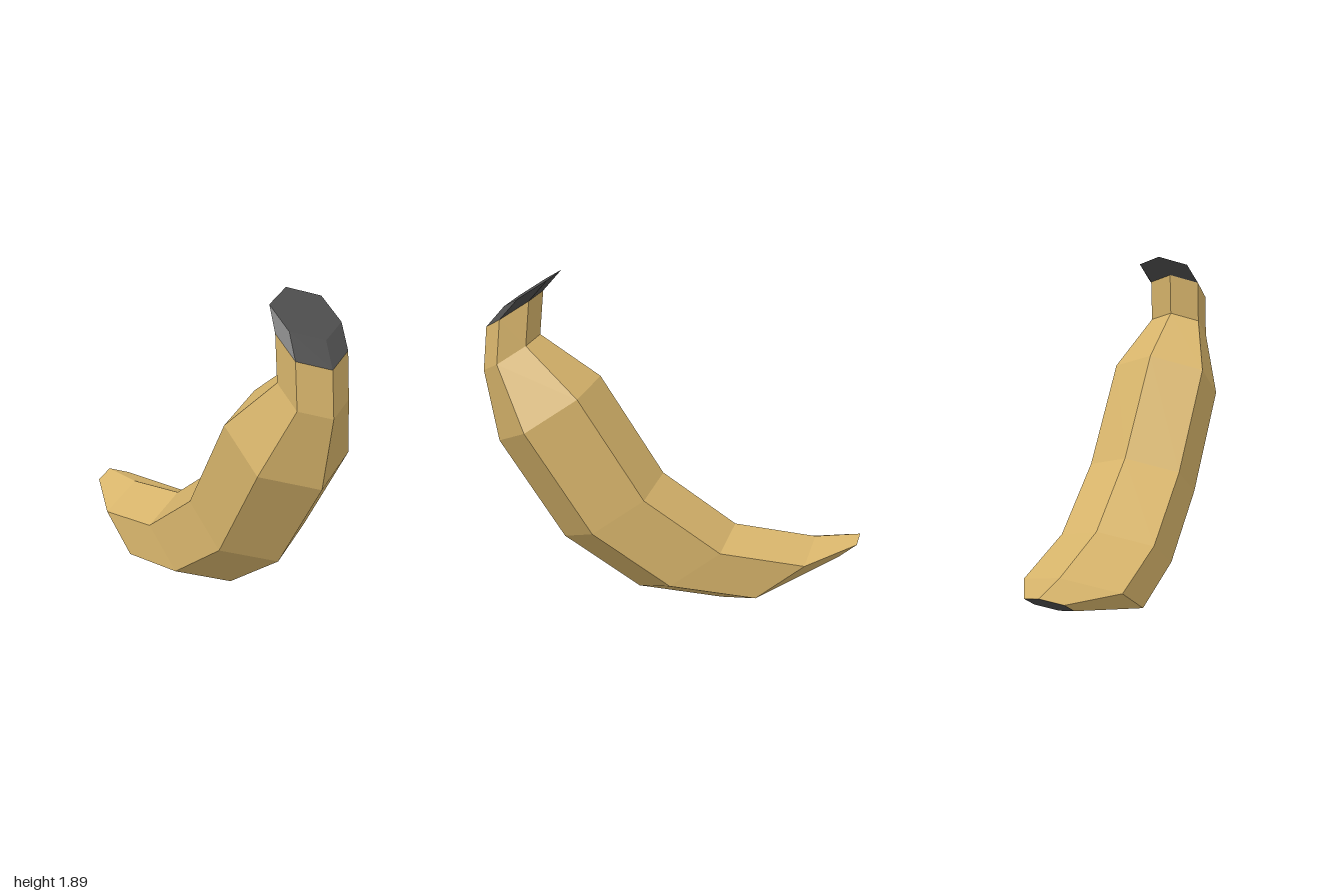
import * as THREE from 'three';

// Two spokes of the slanted hexagon that is swept along the fruit
const A = new THREE.Vector3(-0.313, 0.086, -0.034);
const B = new THREE.Vector3(-0.1, 0.172, -0.26);
const C = B.clone().sub(A);
const SPOKES = [A, B, C, A.clone().negate(), B.clone().negate(), C.clone().negate()];

// Section centres and sizes, from the stem end down to the blossom end
const STEM_TOP = [0.28, 1.8, 0.735, 0.55];
const STEM_BASE = [0.28, 1.69, 0.84, 0.55];
const NECK = [0.289, 1.457, 0.86, 0.55];
const SHOULDER = [0.227, 1.148, 0.675, 1];
const MIDDLE = [0.12, 0.595, 0.348, 1];
const BELLY = [-0.04, 0.276, -0.04, 1];
const TAPER = [-0.233, 0.172, -0.486, 1];
const TIP = [-0.425, 0.27, -0.9, 0.386];

function ring([x, y, z, size]) {
  const centre = new THREE.Vector3(x, y, z);
  return SPOKES.map((s) => s.clone().multiplyScalar(size).add(centre));
}

function facets(points) {
  const geometry = new THREE.BufferGeometry().setFromPoints(points);
  geometry.computeVertexNormals();
  return geometry;
}

// Six-sided skin through a list of sections
function skin(sections) {
  const rings = sections.map(ring);
  const points = [];
  for (let i = 0; i < rings.length - 1; i++) {
    const up = rings[i], low = rings[i + 1];
    for (let j = 0; j < 6; j++) {
      const k = (j + 1) % 6;
      points.push(up[k], low[k], low[j], up[k], low[j], up[j]);
    }
  }
  return points;
}

// Flat hexagon closing one end
function endCap(section, facesUp) {
  const r = ring(section);
  const points = [];
  for (let j = 1; j < 5; j++) {
    if (facesUp) points.push(r[0], r[j + 1], r[j]);
    else points.push(r[0], r[j], r[j + 1]);
  }
  return points;
}

export function createModel() {
  const group = new THREE.Group();
  group.name = 'banana';

  const peelYellow = new THREE.MeshStandardMaterial({ color: 0xd9b66c });
  peelYellow.name = 'peelYellow';
  peelYellow.flatShading = true;
  const stemGrey = new THREE.MeshStandardMaterial({ color: 0x4d4d4d });
  stemGrey.name = 'stemGrey';
  stemGrey.flatShading = true;

  const add = (name, points, material) => {
    const mesh = new THREE.Mesh(facets(points), material);
    mesh.name = name;
    group.add(mesh);
  };

  // Curved peel
  add('peel', skin([STEM_BASE, NECK, SHOULDER, MIDDLE, BELLY, TAPER, TIP]), peelYellow);
  // Dark cut end of the stem
  add('stemEnd', [...skin([STEM_TOP, STEM_BASE]), ...endCap(STEM_TOP, true)], stemGrey);
  // Dark blossom end
  add('blossomEnd', endCap(TIP, false), stemGrey);

  return group;
}
